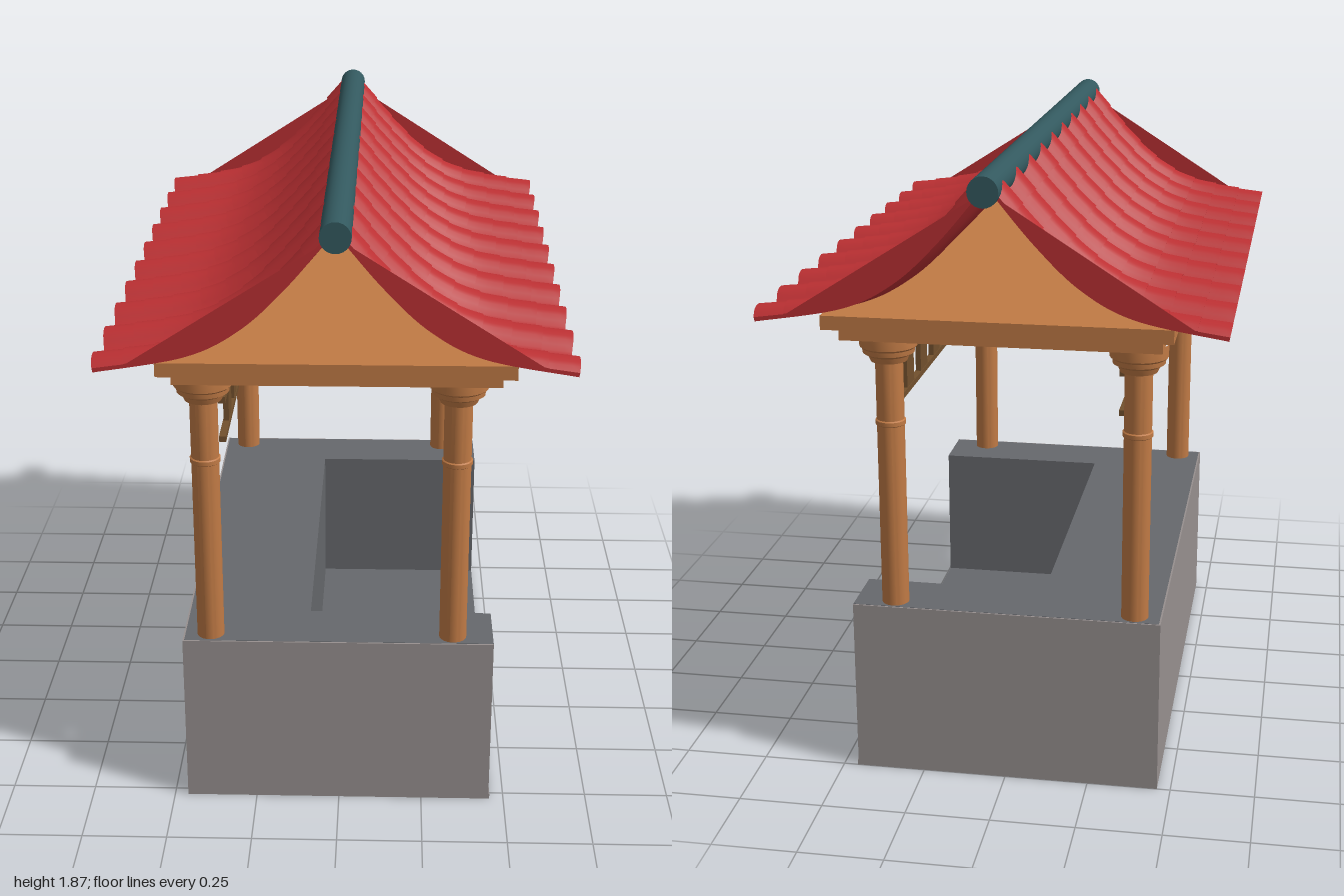
import * as THREE from 'three';
import { toCreasedNormals } from 'three/addons/utils/BufferGeometryUtils.js';

const mat = (color, side = THREE.FrontSide) => new THREE.MeshStandardMaterial({ color, side });
const WOOD = mat(0xc07a45), DARK_WOOD = mat(0x72502d), STONE = mat(0x66686c);
const CLADDING = mat(0x97908f), RIDGE = mat(0x33595f), TILE = mat(0xbc3033, THREE.DoubleSide);

function add(parent, name, geometry, material) {
  const mesh = new THREE.Mesh(geometry, material);
  mesh.name = name;
  parent.add(mesh);
  return mesh;
}

// Box given by its lower and upper limits on each axis
function box(parent, name, material, [x0, x1], [y0, y1], [z0, z1]) {
  const mesh = add(parent, name, new THREE.BoxGeometry(x1 - x0, y1 - y0, z1 - z0), material);
  mesh.position.set((x0 + x1) / 2, (y0 + y1) / 2, (z0 + z1) / 2);
  return mesh;
}

// U-shaped counter, open towards +x, with thin lighter cladding outside
function createCounter() {
  const g = new THREE.Group();
  g.name = 'counter';
  const plan = new THREE.Shape([
    [-0.455, -0.775], [0.455, -0.775], [0.455, -0.59], [-0.09, -0.59],
    [-0.09, 0.56], [0.455, 0.56], [0.455, 0.745], [-0.455, 0.745],
  ].map(([x, y]) => new THREE.Vector2(x, y)));
  const walls = new THREE.ExtrudeGeometry(plan, { depth: 0.535, bevelEnabled: false });
  walls.rotateX(-Math.PI / 2);
  add(g, 'counterWalls', walls, STONE);
  box(g, 'counterFloor', STONE, [-0.1, 0.455], [0, 0.085], [-0.56, 0.59]);
  box(g, 'frontCladding', CLADDING, [-0.459, 0.455], [0, 0.534], [0.775, 0.78]);
  box(g, 'backCladding', CLADDING, [-0.459, 0.455], [0, 0.534], [-0.75, -0.745]);
  box(g, 'sideCladding', CLADDING, [-0.46, -0.455], [0, 0.534], [-0.75, 0.78]);
  box(g, 'plinthStrip', CLADDING, [0.455, 0.458], [0, 0.016], [-0.75, 0.78]);
  return g;
}

// Turned post with a collar and a stepped capital
function createPostGeometry() {
  const profile = [
    [0.04, 0.53], [0.04, 1.09], [0.044, 1.093], [0.044, 1.105], [0.04, 1.108], [0.04, 1.283],
    [0.053, 1.283], [0.06, 1.3], [0.074, 1.308], [0.076, 1.322], [0.083, 1.328], [0.083, 1.366],
  ].map(([r, y]) => new THREE.Vector2(r, y));
  return toCreasedNormals(new THREE.LatheGeometry(profile, 24), 0.5);
}

// Two rails with a row of square blocks between them
function createFrieze(x) {
  const g = new THREE.Group();
  g.name = 'frieze';
  const xs = [x - 0.01, x + 0.01];
  box(g, 'upperRail', DARK_WOOD, xs, [1.255, 1.275], [-0.67, 0.7]);
  box(g, 'lowerRail', DARK_WOOD, xs, [1.138, 1.155], [-0.67, 0.7]);
  for (let i = 0; i < 7; i++) {
    const z = 0.013 + (i - 3) * 0.175;
    box(g, 'friezeBlock', DARK_WOOD, [x - 0.008, x + 0.008], [1.15, 1.26], [z - 0.043, z + 0.043]);
  }
  return g;
}

// One roof slope: stepped strip swept along z, then bent down the curve and corrugated
function createSlopeGeometry() {
  const ROWS = 9, ARCS = 19, LENGTH = 1.95, AMP = 0.024, SUB = 4;
  const curve = new THREE.SplineCurve([
    [0.012, 1.834], [0.13, 1.693], [0.253, 1.577], [0.397, 1.503], [0.64, 1.458],
  ].map(([x, y]) => new THREE.Vector2(x, y)));

  // Strip section: x runs down the slope (0 to 1), y is the height off it
  const section = [];
  for (let row = 0; row < ROWS; row++) {
    for (let k = 0; k <= SUB; k++) {
      section.push(new THREE.Vector2((row + k / SUB) / ROWS, 0.003 + 0.004 * k / SUB));
    }
  }
  for (let k = ROWS * SUB; k >= 0; k--) section.push(new THREE.Vector2(k / (ROWS * SUB), -0.005));
  const geo = new THREE.ExtrudeGeometry(new THREE.Shape(section.reverse()), {
    depth: LENGTH, steps: ARCS * 8, bevelEnabled: false,
  });

  const pos = geo.attributes.position;
  for (let i = 0; i < pos.count; i++) {
    const t = THREE.MathUtils.clamp(pos.getX(i), 0, 1);
    const z = pos.getZ(i);
    const wave = Math.sin(z / LENGTH * ARCS * Math.PI);
    const height = pos.getY(i) + AMP * Math.sign(wave) * Math.abs(wave) ** 0.65;
    const p = curve.getPointAt(t), d = curve.getTangentAt(t);
    pos.setXYZ(i, p.x - d.y * height, p.y + d.x * height, z - LENGTH / 2);
  }
  return toCreasedNormals(geo, 0.6);
}

export function createModel() {
  const model = new THREE.Group();
  model.name = 'roofedStall';
  model.add(createCounter());

  // Posts and friezes
  const post = createPostGeometry();
  for (const x of [-0.38, 0.336]) {
    for (const z of [-0.7, 0.73]) add(model, 'post', post, WOOD).position.set(x, 0, z);
  }
  model.add(createFrieze(-0.332), createFrieze(0.328));

  // Stepped ceiling slabs
  box(model, 'lowerSlab', WOOD, [-0.455, 0.45], [1.365, 1.41], [-0.81, 0.84]);
  box(model, 'upperSlab', WOOD, [-0.49, 0.485], [1.41, 1.45], [-0.87, 0.9]);

  // Tiled roof and ridge pole
  const slope = createSlopeGeometry();
  for (const side of [0, 1]) {
    const tiles = add(model, side ? 'rightRoofSlope' : 'leftRoofSlope', slope, TILE);
    tiles.position.set(-0.002, 0, 0.007);
    tiles.rotation.y = side * Math.PI;
  }
  const ridge = toCreasedNormals(new THREE.CylinderGeometry(0.042, 0.042, 2, 24), 0.6);
  ridge.rotateX(Math.PI / 2);
  add(model, 'ridgePole', ridge, RIDGE).position.y = 1.83;
  return model;
}
